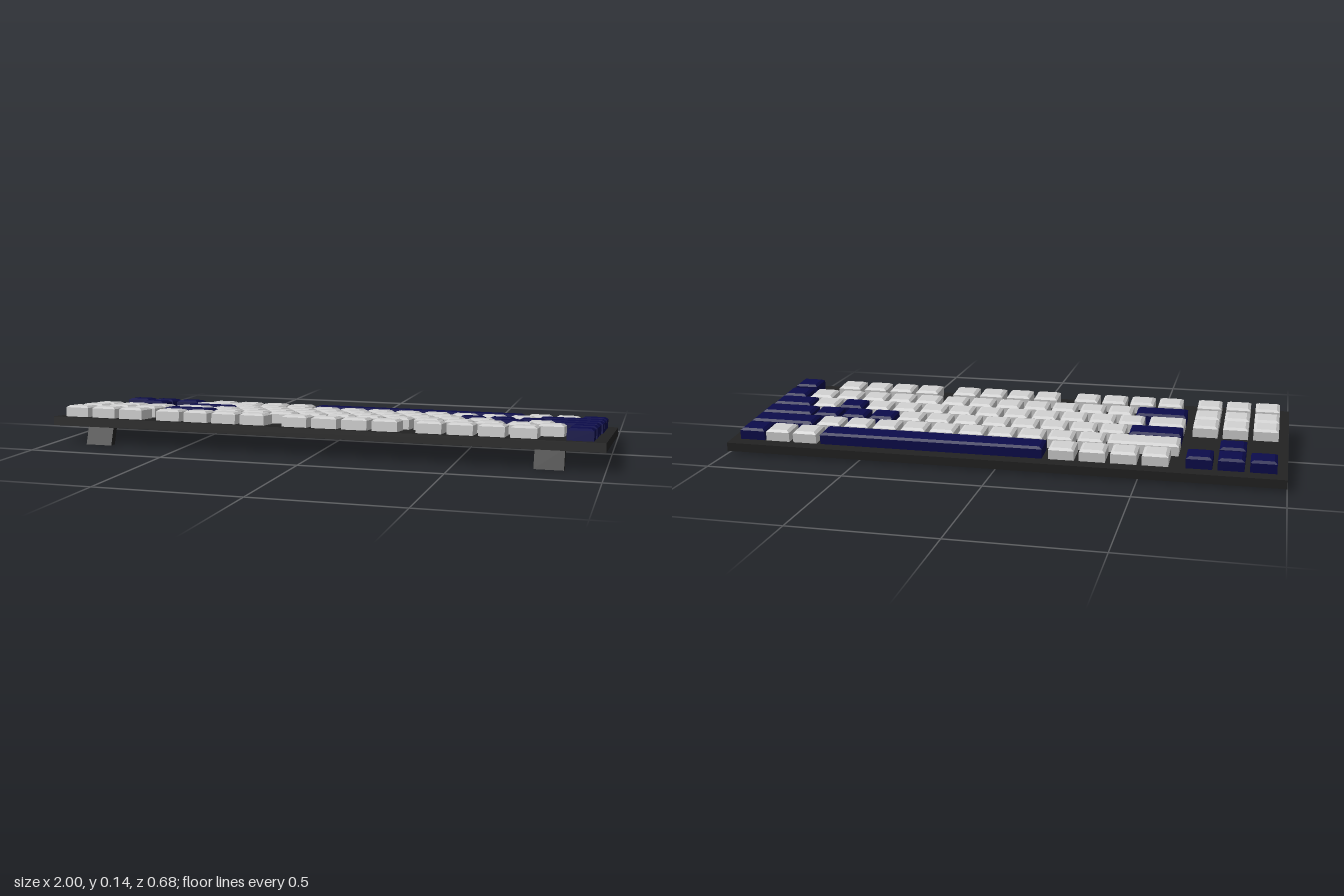
import * as THREE from 'three';

const board = new THREE.MeshStandardMaterial({ name: 'charcoal', color: 0x222222 });
const white = new THREE.MeshStandardMaterial({ name: 'lightGrey', color: 0xd0d0d0 });
const blue = new THREE.MeshStandardMaterial({ name: 'navy', color: 0x0b0b4a });

const GAP = 0.018, DEPTH = 0.09, HEIGHT = 0.041, BEVEL = 0.011;

// Each run of equal keys: [start x, end x, key count, material]
const sideBlock = [-0.965, -0.66, 3, white];
const rows = [
  { z: 0.267, runs: [sideBlock, [-0.602, -0.188, 4, white], [-0.12, 0.297, 4, white],
    [0.361, 0.773, 4, white], [0.869, 0.958, 1, blue]] },
  { z: 0.15, runs: [sideBlock, [-0.628, -0.441, 1, blue], [-0.425, 0.85, 12, white],
    [0.869, 0.96, 1, blue]] },
  { z: 0.052, runs: [sideBlock, [-0.628, -0.5, 1, white], [-0.479, 0.586, 10, white],
    [0.602, 0.693, 1, blue], [0.709, 0.8, 1, white], [0.812, 0.96, 1, blue]] },
  { z: -0.047, runs: [[-0.628, -0.441, 1, blue], [-0.425, 0.43, 8, white],
    [0.447, 0.757, 3, blue], [0.769, 0.965, 1, blue]] },
  { z: -0.147, runs: [[-0.858, -0.767, 1, blue], [-0.628, -0.377, 1, white],
    [-0.361, 0.709, 10, white], [0.725, 0.965, 1, blue]] },
  { z: -0.25, runs: [[-0.965, -0.66, 3, blue], [-0.602, -0.185, 4, white],
    [-0.163, 0.655, 1, blue], [0.671, 0.76, 1, white], [0.775, 0.864, 1, white],
    [0.871, 0.965, 1, blue]] },
];

// Keycap: straight walls with a bevelled top edge
function keycap(width) {
  let g = new THREE.BoxGeometry(width, HEIGHT, DEPTH, 1, 2, 1);
  const p = g.attributes.position;
  for (let i = 0; i < p.count; i++) {
    const y = p.getY(i);
    if (y > 0.01) {
      p.setX(i, p.getX(i) - Math.sign(p.getX(i)) * BEVEL);
      p.setZ(i, p.getZ(i) - Math.sign(p.getZ(i)) * BEVEL);
    } else if (y > -0.01) {
      p.setY(i, HEIGHT / 2 - 0.007);
    }
  }
  g = g.toNonIndexed();
  g.computeVertexNormals();
  return g.translate(0, HEIGHT / 2, 0);
}

export function createModel() {
  const model = new THREE.Group();
  model.name = 'keyboard';

  // Tilted deck carrying the case and all keys
  const deck = new THREE.Group();
  deck.name = 'deck';
  deck.position.y = 0.0535;
  deck.rotation.x = -0.083;
  model.add(deck);

  const casing = new THREE.Mesh(new THREE.BoxGeometry(2, 0.032, 0.683), board);
  casing.name = 'case';
  deck.add(casing);

  rows.forEach(({ z, runs }, r) => {
    const row = new THREE.Group();
    row.name = `keyRow${r + 1}`;
    row.position.set(0, 0.016, z);
    for (const [start, end, count, material] of runs) {
      const pitch = (end - start + GAP) / count;
      const geometry = keycap(pitch - GAP);
      for (let i = 0; i < count; i++) {
        const key = new THREE.Mesh(geometry, material);
        key.name = 'key';
        key.position.x = start + pitch * i + (pitch - GAP) / 2;
        row.add(key);
      }
    }
    deck.add(row);
  });

  // Slanted feet, profile drawn in (-z, y) and extruded along x
  const profile = new THREE.Shape([
    [-0.342, 0], [-0.314, 0], [-0.29, 0.07], [-0.318, 0.07],
  ].map(([a, b]) => new THREE.Vector2(a, b)));
  const footGeometry = new THREE.ExtrudeGeometry(profile, { depth: 0.1, bevelEnabled: false });
  footGeometry.translate(0, 0, -0.05).rotateY(Math.PI / 2);
  for (const side of [-1, 1]) {
    const foot = new THREE.Mesh(footGeometry, board);
    foot.name = side > 0 ? 'leftFoot' : 'rightFoot';
    foot.position.x = side * 0.817;
    model.add(foot);
  }
  return model;
}
